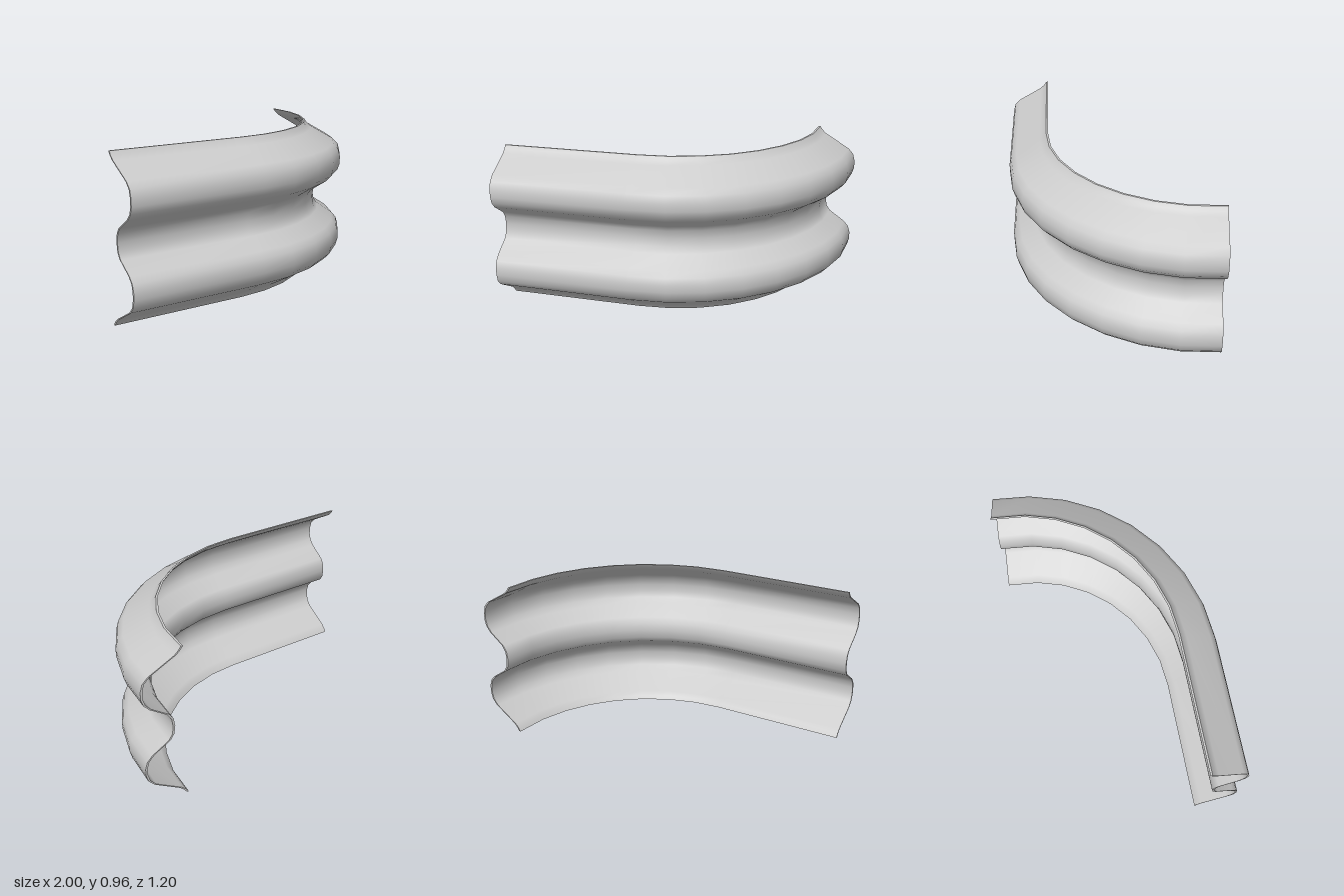
import * as THREE from 'three';

// lower half of the corrugated profile: [height, depth behind the crest]
const half = [
  [0, 0.235], [0.022, 0.22], [0.045, 0.195], [0.13, 0.045], [0.165, 0.012], [0.21, 0], [0.255, 0],
  [0.295, 0.012], [0.33, 0.043], [0.395, 0.142], [0.43, 0.165], [0.48, 0.172],
];
const profile = [...half, ...half.slice(0, -1).reverse().map(([y, d]) => [0.96 - y, d])];
const THICK = 0.012;

// stations along the rail: crest position and the angle of the outward normal
const CX = -0.172, CZ = -0.575, R = 1.172, BENDS = 8;
const stations = [{ x: -1, z: CZ + R, a: 0 }];
for (let i = 0; i <= BENDS; i++) {
  const t = (i / BENDS) * Math.PI / 2;
  const a = i === BENDS ? t - Math.PI / 4 / BENDS : t; // end is cut square to the last segment
  stations.push({ x: CX + R * Math.sin(t), z: CZ + R * Math.cos(t), a });
}

// point on the rail: station i, profile index j, k = 0 front face, 1 back face
function railPoint(i, j, k) {
  const s = stations[i], [y, d] = profile[j];
  const depth = d + k * THICK;
  return [s.x - depth * Math.sin(s.a), y, s.z - depth * Math.cos(s.a)];
}

// smooth patch of nu x nv points, facing u cross v
function patch(name, nu, nv, fn, material) {
  const pos = [], index = [];
  for (let u = 0; u < nu; u++) for (let v = 0; v < nv; v++) pos.push(...fn(u, v));
  for (let u = 0; u < nu - 1; u++) {
    for (let v = 0; v < nv - 1; v++) {
      const a = u * nv + v, b = a + nv;
      index.push(a, b, b + 1, a, b + 1, a + 1);
    }
  }
  const geo = new THREE.BufferGeometry();
  geo.setAttribute('position', new THREE.Float32BufferAttribute(pos, 3));
  geo.setIndex(index);
  geo.computeVertexNormals();
  const mesh = new THREE.Mesh(geo, material);
  mesh.name = name;
  return mesh;
}

export function createModel() {
  const rail = new THREE.Group();
  rail.name = 'curvedGuardRail';
  const mat = new THREE.MeshStandardMaterial({ color: 0xcccccc });
  const n = stations.length, m = profile.length, last = n - 1, top = m - 1;
  rail.add(
    // corrugated faces
    patch('frontFace', n, m, (u, v) => railPoint(u, v, 0), mat),
    patch('backFace', n, m, (u, v) => railPoint(last - u, v, 1), mat),
    // thin rims that close the sheet
    patch('topEdge', n, 2, (u, v) => railPoint(u, top, v), mat),
    patch('bottomEdge', n, 2, (u, v) => railPoint(u, 0, 1 - v), mat),
    patch('straightEnd', 2, m, (u, v) => railPoint(0, v, 1 - u), mat),
    patch('curvedEnd', 2, m, (u, v) => railPoint(last, v, u), mat),
  );
  return rail;
}
